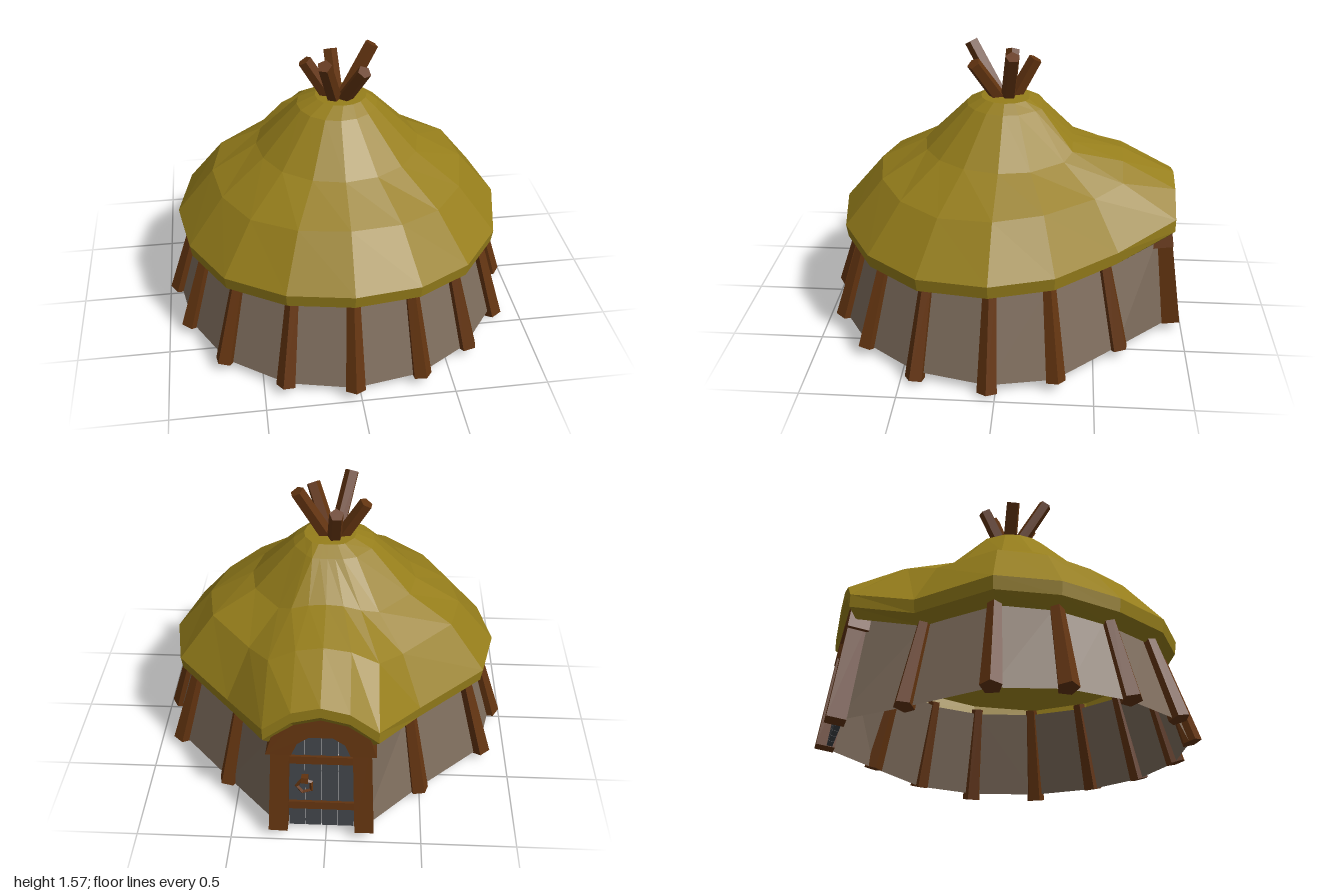
import * as THREE from 'three';

const mat = (color) => new THREE.MeshStandardMaterial({ color, flatShading: true, side: THREE.DoubleSide });
const wood = mat(0x633410), thatch = mat(0x967e1b), plaster = mat(0x7d6c5c), plank = mat(0x404348);
const V = (x, y, z) => new THREE.Vector3(x, y, z);

// Foot positions (x, z) of the wall posts, from the right of the doorway round to its left
const feet = [[0.55, -0.63], [0.86, -0.3], [0.93, 0.04], [0.84, 0.42], [0.62, 0.71], [0.33, 0.89], [-0.03, 0.95],
  [-0.38, 0.87], [-0.69, 0.65], [-0.87, 0.33], [-0.93, 0], [-0.85, -0.33], [-0.49, -0.65]];
const DOOR_X = 0.025;

function named(geometry, material, name) {
  const m = new THREE.Mesh(geometry, material);
  m.name = name;
  return m;
}

// Surface through rows of points
function loft(rows, closed) {
  const n = rows[0].length, pos = [], idx = [];
  rows.forEach((row) => row.forEach((p) => pos.push(p.x, p.y, p.z)));
  for (let r = 0; r < rows.length - 1; r++) {
    for (let c = 0; c < (closed ? n : n - 1); c++) {
      const a = r * n + c, b = r * n + (c + 1) % n;
      idx.push(a, b, a + n, b, b + n, a + n);
    }
  }
  const g = new THREE.BufferGeometry();
  g.setAttribute('position', new THREE.Float32BufferAttribute(pos, 3));
  g.setIndex(idx);
  g.computeVertexNormals();
  return g;
}

// Tapered beam from a to b, with one side turned towards "out"
function beam(a, b, r0, r1, sides, out, name) {
  const y = b.clone().sub(a), len = y.length();
  y.normalize();
  const x = y.clone().cross(out).normalize(), z = x.clone().cross(y);
  const g = new THREE.CylinderGeometry(r1, r0, len, sides);
  g.rotateY(Math.PI / sides);
  g.applyMatrix4(new THREE.Matrix4().makeBasis(x, y, z).setPosition(a.clone().add(b).multiplyScalar(0.5)));
  return named(g, wood, name);
}

// Thatch: a ring profile for the round part, with a raised hood over the door
function makeRoof() {
  const profile = [[0, 1.3], [0.14, 1.295], [0.22, 1.25], [0.45, 1.02], [0.70, 0.87], [0.91, 0.62], [0.90, 0.55], [0.82, 0.505]];
  // half width, height, z, drop at the sides
  const hood = [[0, 1.3, 0, 0], [0.05, 1.295, -0.12, 0], [0.08, 1.25, -0.19, 0], [0.18, 1.08, -0.36, 0.03],
    [0.28, 1.01, -0.63, 0.09], [0.29, 0.87, -0.92, 0.15], [0.29, 0.81, -0.92, 0.16], [0.26, 0.75, -0.88, 0.15]];
  const rows = profile.map(([r, y], i) => {
    const row = feet.map(([fx, fz]) => {
      const len = Math.hypot(fx, fz), k = THREE.MathUtils.lerp(1, len / 0.94, Math.min(1, i / 5));
      const dip = i > 3 ? 0.024 * Math.sin(3 * Math.atan2(fz, fx) + 3) : 0;
      return V(fx / len * r * k + (i === 1 ? 0.02 : 0), y + dip, fz / len * r * k);
    });
    const [hw, hy, hz, drop] = hood[i];
    for (const s of [-1, -0.5, 0, 0.5, 1]) row.push(V(s * hw + (i ? DOOR_X : 0), hy - drop * s * s, hz));
    return row;
  });
  return named(loft(rows, true), thatch, 'thatchedRoof');
}

// Leaning wall, open at the doorway, its ends following the door posts
function makeWall() {
  const bottom = feet.map(([x, z]) => V(x, 0.06, z)), top = feet.map(([x, z]) => V(x * 0.85, 0.53, z * 0.85));
  const ends = [[0.25, 1], [-0.2, -1]].map(([x, s]) => [V(x, 0.06, -0.94), V(x - s * 0.01, 0.66, -0.86)]);
  const row = (i, ring) => [ends[0][i], ...ring, ends[1][i]];
  return named(loft([row(0, bottom), row(1, top)], false), plaster, 'wall');
}

// Doorway, built upright and then leaned back with the wall
function makeDoorway() {
  const g = new THREE.Group();
  g.name = 'doorway';
  for (const s of [-1, 1]) {
    g.add(beam(V(s * 0.225, 0.01, 0.01), V(s * 0.205, 0.57, 0.01), 0.07, 0.066, 4, V(0, 0, -1), 'doorPost'));
  }
  const outer = [[-0.28, 0.50], [-0.24, 0.63], [-0.12, 0.72], [0.12, 0.72], [0.24, 0.63], [0.28, 0.50]];
  const inner = [[0.15, 0.50], [0.12, 0.57], [0.06, 0.61], [-0.06, 0.61], [-0.12, 0.57], [-0.15, 0.50]];
  const arch = new THREE.Shape([...outer, ...inner].map(([x, y]) => new THREE.Vector2(x, y)));
  const archGeo = new THREE.ExtrudeGeometry(arch, { depth: 0.11, bevelEnabled: false });
  archGeo.translate(0, 0, -0.04);
  g.add(named(archGeo, wood, 'doorArch'));
  // Planks, cross battens and ring handle
  for (let i = 0; i < 4; i++) {
    const h = i === 0 || i === 3 ? 0.57 : 0.63;
    const p = named(new THREE.BoxGeometry(0.082, h, 0.03), plank, 'doorPlank');
    p.position.set((i - 1.5) * 0.086, 0.01 + h / 2, 0.03);
    g.add(p);
  }
  for (const y of [0.15, 0.44]) {
    const b = named(new THREE.BoxGeometry(0.34, 0.045, 0.02), wood, 'doorBatten');
    b.position.set(0, y, 0.01);
    g.add(b);
  }
  const ring = named(new THREE.TorusGeometry(0.042, 0.011, 4, 5), wood, 'doorRing');
  ring.position.set(0.085, 0.28, 0);
  const knob = named(new THREE.BoxGeometry(0.035, 0.035, 0.04), wood, 'doorKnob');
  knob.position.set(0.085, 0.325, 0);
  g.add(ring, knob);
  g.position.set(DOOR_X, 0.05, -0.95);
  g.rotation.x = 0.14;
  return g;
}

export function createModel() {
  const model = new THREE.Group();
  model.name = 'hut';
  model.add(makeRoof(), makeWall(), makeDoorway());

  // Wall posts leaning inwards, two of them reaching the ground
  feet.forEach(([x, z], i) => {
    const foot = i === 2 || i === 3 ? 0.025 : 0.06;
    model.add(beam(V(x * 1.01, foot, z * 1.01), V(x * 0.855, 0.56, z * 0.855), 0.055, 0.036, 5, V(-x, 0, -z), 'wallPost'));
  });

  // Bundle of poles crossing at the peak
  const tips = [[-0.02, 1.49, -0.15], [0.19, 1.56, -0.04], [0.12, 1.50, 0.17], [-0.09, 1.56, 0.20], [-0.17, 1.49, -0.02]];
  for (const [x, y, z] of tips) {
    model.add(beam(V(x * -0.1, 1.18, z * -0.1), V(x, y, z), 0.042, 0.039, 5, V(x, 0, z), 'peakPole'));
  }
  return model;
}
